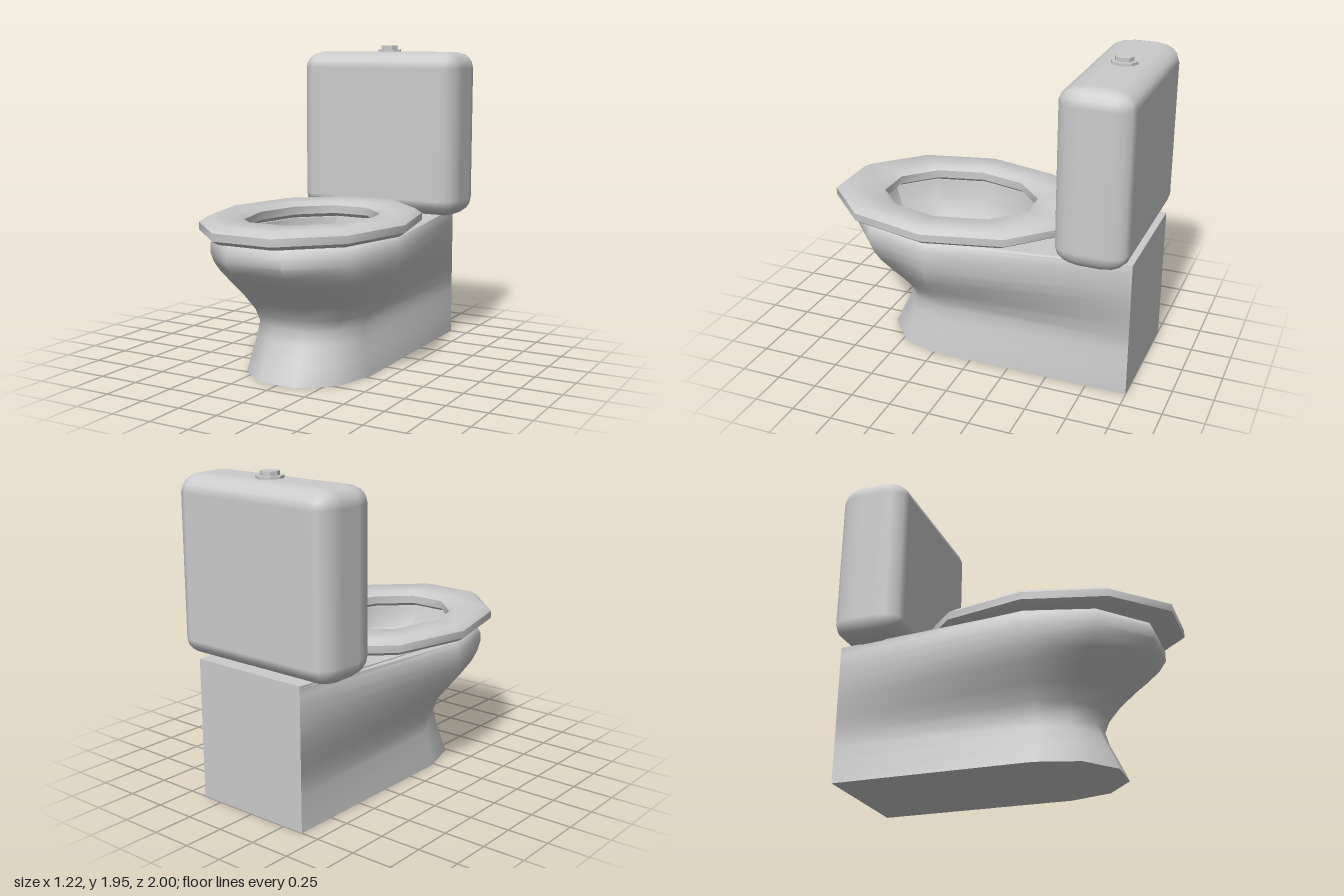
import * as THREE from 'three';
import { toCreasedNormals } from 'three/addons/utils/BufferGeometryUtils.js';
import { RoundedBoxGeometry } from 'three/addons/geometries/RoundedBoxGeometry.js';

const material = new THREE.MeshStandardMaterial({ color: 0xcccccc });
const SIDES = 10;
const CENTRE_Z = 0.22;
const BACK_X = 0.385;

// Ten-sided ellipse as [x, z] pairs
function ellipse(rx, rz, cz) {
  return Array.from({ length: SIDES }, (_, i) => {
    const a = (i / SIDES) * Math.PI * 2;
    return [rx * Math.cos(a), cz + rz * Math.sin(a)];
  });
}

// Body outline: half ellipse in front, straight sides to a square back
function bodyOutline(halfWidth, front) {
  const rz = (front - CENTRE_Z) / Math.sin(Math.PI * 0.4);
  return [...ellipse(halfWidth, rz, CENTRE_Z).slice(0, 6), [-BACK_X, -1], [BACK_X, -1]];
}

const ring = (outline, y) => outline.map(([x, z]) => [x, y, z]);
const point = (n, y, z) => Array.from({ length: n }, () => [0, y, z]);

// Skin a list of equal-length rings
function loft(rings, crease) {
  const n = rings[0].length;
  const index = [];
  for (let r = 0; r < rings.length - 1; r++) {
    for (let i = 0; i < n; i++) {
      const a = r * n + i, b = r * n + (i + 1) % n, c = a + n, d = b + n;
      index.push(a, c, b, b, c, d);
    }
  }
  const geometry = new THREE.BufferGeometry();
  geometry.setAttribute('position', new THREE.Float32BufferAttribute(rings.flat(2), 3));
  geometry.setIndex(index);
  return toCreasedNormals(geometry, crease);
}

export function createModel() {
  const group = new THREE.Group();
  const add = (name, geometry, y = 0, z = 0) => {
    const mesh = new THREE.Mesh(geometry, material);
    mesh.name = name;
    mesh.position.set(0, y, z);
    group.add(mesh);
    return mesh;
  };

  // Pedestal and outer bowl: [height, half width, front z]
  const levels = [
    [0, 0.39, 0.64], [0.12, 0.367, 0.585], [0.22, 0.345, 0.535], [0.3, 0.335, 0.51],
    [0.37, 0.36, 0.535], [0.46, 0.43, 0.6], [0.55, 0.505, 0.69], [0.62, 0.55, 0.775],
    [0.68, 0.57, 0.84], [0.74, 0.578, 0.88], [0.8, 0.575, 0.88], [0.84, 0.555, 0.86], [0.855, 0.52, 0.82],
  ];
  const rings = levels.map(([y, w, f]) => ring(bodyOutline(w, f), y));
  add('pedestal', loft([point(8, 0, 0), ...rings], 0.9));

  // Flat rim and rear deck with the bowl opening
  const flat = ([x, z]) => new THREE.Vector2(x, -z);
  const opening = ellipse(0.41, 0.54, CENTRE_Z);
  const rim = new THREE.Shape(bodyOutline(0.52, 0.82).map(flat));
  rim.holes.push(new THREE.Path(opening.map(flat)));
  add('rim', new THREE.ShapeGeometry(rim).rotateX(-Math.PI / 2), 0.855);

  // Inside of the bowl, from the opening down to its floor
  add('basin', loft([
    ring(opening, 0.855),
    ring(ellipse(0.395, 0.51, 0.21), 0.72),
    ring(ellipse(0.34, 0.42, 0.17), 0.58),
    ring(ellipse(0.25, 0.28, 0.11), 0.45),
    ring(ellipse(0.175, 0.19, 0.08), 0.36),
    point(SIDES, 0.36, 0.08),
  ], 0.7));

  // Seat ring: [fraction from inner to outer edge, height]
  const section = [
    [0.85, 0.86], [1, 0.885], [1, 0.93], [0.82, 0.962], [0.15, 0.962],
    [0, 0.935], [0, 0.885], [0.15, 0.86], [0.85, 0.86],
  ];
  const mix = THREE.MathUtils.lerp;
  add('seat', loft(section.map(([t, y]) =>
    ring(ellipse(mix(0.373, 0.61, t), mix(0.495, 0.82, t), CENTRE_Z), y)), 0.9));

  // Cistern with softly rounded edges, deeper rounding front to back
  const tank = new RoundedBoxGeometry(1.12, 1.06, 0.3, 2, 0.105);
  tank.scale(1, 1, 0.44 / 0.3);
  add('tank', tank, 1.38, -0.78);

  // Flush button on its collar
  const disc = (r, h) => toCreasedNormals(new THREE.CylinderGeometry(r, r, h, 8), 0.5);
  add('buttonCollar', disc(0.08, 0.03), 1.91, -0.79);
  add('flushButton', disc(0.056, 0.04), 1.93, -0.79);

  return group;
}
